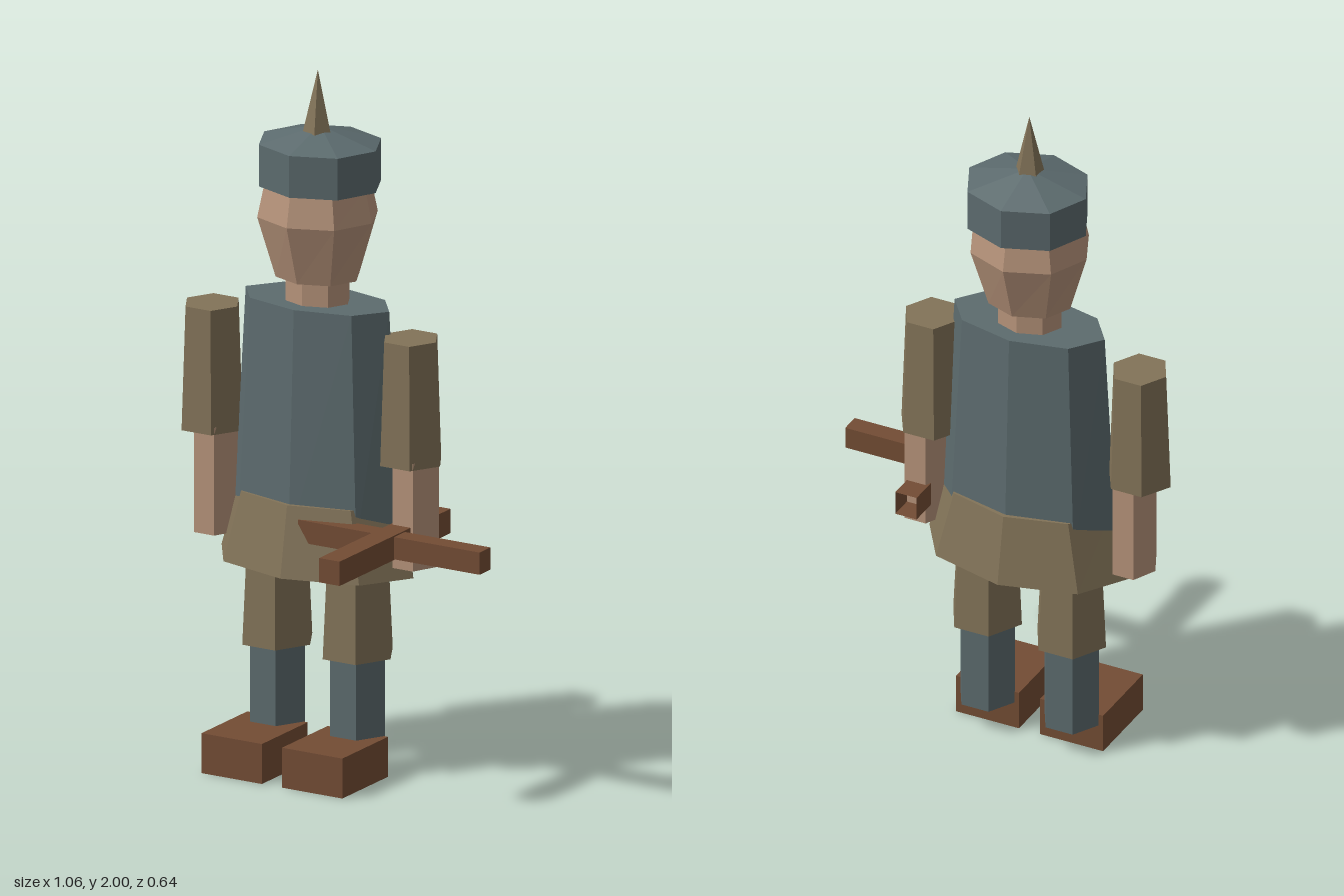
import * as THREE from 'three';

const CX = -0.095, CZ = -0.125; // body axis

const paint = (name, color, open = false) => {
  const m = new THREE.MeshStandardMaterial({ color });
  m.name = name;
  m.flatShading = true;
  if (open) m.side = THREE.DoubleSide;
  return m;
};

export function createModel() {
  const model = new THREE.Group();
  model.name = 'soldier';
  const cloth = paint('blueGreyCloth', 0x5c6b6e);
  const khaki = paint('khaki', 0x827358);
  const skin = paint('skin', 0xb6937a);
  const wood = paint('brown', 0x734c34, true);

  const add = (name, geometry, material, x = 0, y = 0, z = 0) => {
    const mesh = new THREE.Mesh(geometry, material);
    mesh.name = name;
    mesh.position.set(x, y, z);
    model.add(mesh);
    return mesh;
  };

  // Faceted oval solid through rings of [y, half width, half depth]
  const loft = (name, rings, material, sides, x = CX, z = CZ, turn = 0) => {
    const geo = new THREE.CylinderGeometry(1, 1, 1, sides, rings.length - 1, false, turn);
    const p = geo.attributes.position;
    for (let i = 0; i < p.count; i++) {
      const k = Math.round((p.getY(i) + 0.5) * (rings.length - 1));
      const [y, rx, rz] = rings[k];
      p.setXYZ(i, p.getX(i) * rx, y, p.getZ(i) * rz);
    }
    geo.computeVertexNormals();
    return add(name, geo, material, x, 0, z);
  };

  // Helmet and spike
  loft('helmet', [[1.67, 0.18, 0.162], [1.79, 0.18, 0.162], [1.837, 0.002, 0.002]], cloth, 8, CX, -0.138);
  const spike = new THREE.ConeGeometry(0.042, 0.18, 5, 1, false, Math.PI / 2);
  add('helmetSpike', spike, khaki, CX, 1.91, -0.127);

  // Head and neck
  loft('head', [[1.41, 0.125, 0.108], [1.585, 0.176, 0.162], [1.68, 0.155, 0.143]], skin, 8);
  loft('neck', [[1.3, 0.098, 0.08], [1.43, 0.098, 0.08]], skin, 8);

  // Coat and skirt
  loft('coat', [[0.68, 0.27, 0.152], [1.34, 0.232, 0.125]], cloth, 8);
  loft('coatSkirt', [[0.585, 0.31, 0.195], [0.787, 0.25, 0.16]], khaki, 8);

  // Legs, arms and boots
  const HEX = Math.PI / 6;
  for (const [side, s] of [['left', 1], ['right', -1]]) {
    const legX = CX + s * 0.13, armX = CX - 0.021 + s * 0.321;
    loft(side + 'Thigh', [[0.34, 0.106, 0.113], [0.65, 0.09, 0.098]], khaki, 6, legX, CZ, HEX);
    loft(side + 'Calf', [[0.08, 0.084, 0.088], [0.4, 0.084, 0.088]], cloth, 6, legX, CZ, HEX);

    // Boot box, open underneath
    const boot = new THREE.BoxGeometry(0.195, 0.115, 0.24).toNonIndexed();
    for (const key of ['position', 'normal', 'uv']) {
      const a = boot.attributes[key], n = a.itemSize * 6;
      const kept = [...a.array.slice(0, n * 3), ...a.array.slice(n * 4)];
      boot.setAttribute(key, new THREE.Float32BufferAttribute(kept, a.itemSize));
    }
    boot.clearGroups();
    add(side + 'Boot', boot, wood, legX, 0.0575, -0.006);

    loft(side + 'UpperArm', [[0.92, 0.095, 0.096], [1.275, 0.081, 0.085]], khaki, 6, armX, -0.127, HEX);
    loft(side + 'Forearm', [[0.63, 0.065, 0.08], [0.94, 0.065, 0.08]], skin, 6, armX + 0.02, -0.122, HEX);
  }

  // Crossed bars in the left hand; the long one is hollow at its rear end
  add('crossBar', new THREE.BoxGeometry(0.587, 0.064, 0.057), wood, 0.2335, 0.719, 0.0055);
  const bar = new THREE.BoxGeometry(0.066, 0.07, 0.582);
  bar.setIndex([...bar.index.array].slice(0, 30));
  bar.clearGroups();
  add('longBar', bar, wood, 0.2175, 0.72, 0.029);

  return model;
}
